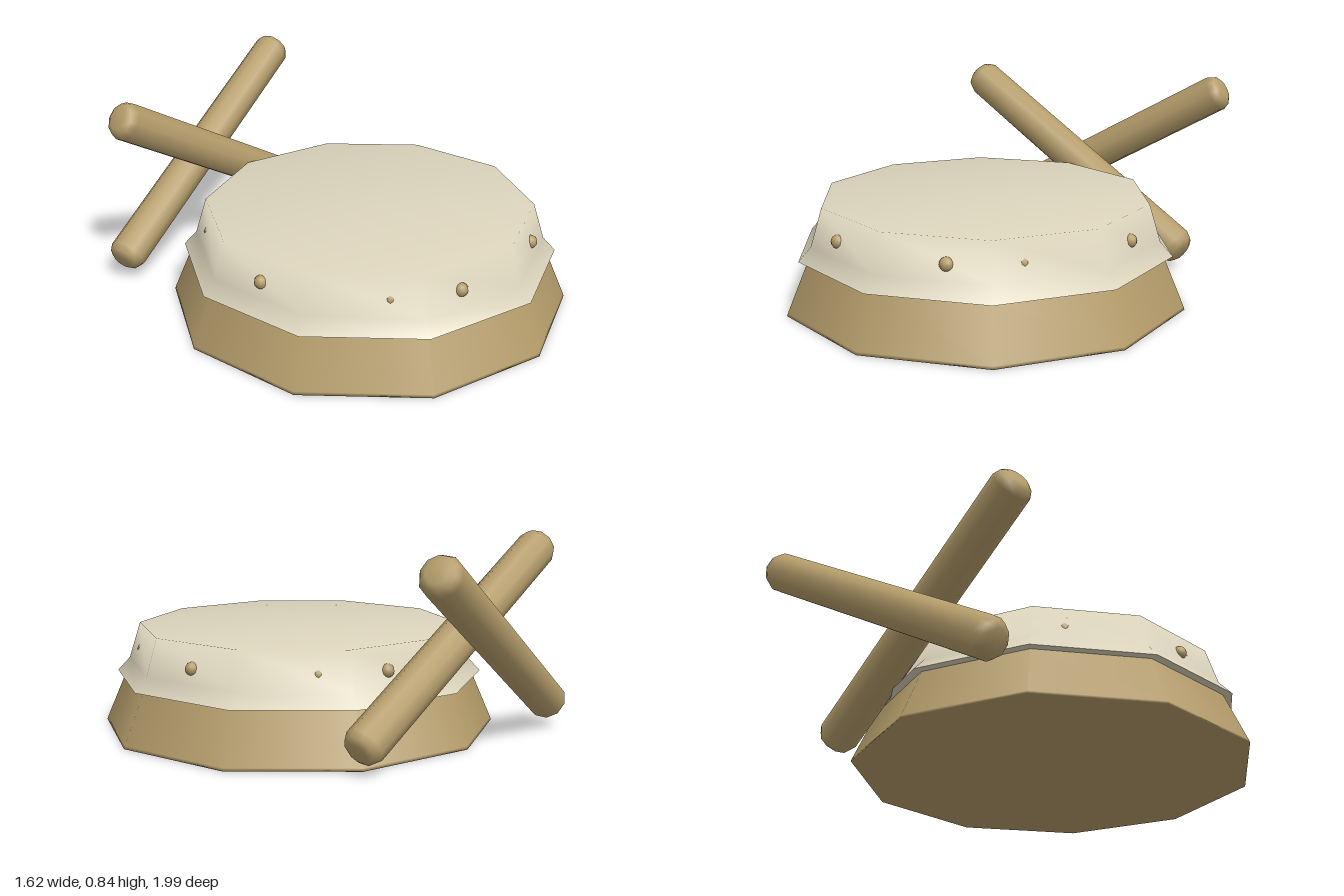
import * as THREE from 'three';

const wood = new THREE.MeshStandardMaterial({ color: 0xb59d6b });
wood.name = 'tan wood';
const hide = new THREE.MeshStandardMaterial({ color: 0xdcd4bc });
hide.name = 'pale hide';

// Ten-sided turned part from [radius, height] pairs, listed bottom to top
function turned(name, profile, material, sides = 10) {
  const points = profile.map(([r, y]) => new THREE.Vector2(r, y));
  const mesh = new THREE.Mesh(new THREE.LatheGeometry(points, sides), material);
  mesh.name = name;
  return mesh;
}

export function createModel() {
  const model = new THREE.Group();
  model.name = 'drumWithSticks';

  const drum = new THREE.Group();
  drum.name = 'drum';
  drum.position.z = 0.145;
  model.add(drum);

  // Flared wooden shell with a closed underside
  drum.add(turned('shell', [[0, 0], [0.85, 0], [0.846, 0.012], [0.757, 0.22], [0.745, 0.25]], wood));

  // Stretched skin with a flared lower lip
  drum.add(turned('skin', [[0.795, 0.222], [0.742, 0.28], [0.694, 0.435], [0, 0.435]], hide));
  drum.add(turned('skinUnderside', [[0.74, 0.222], [0.795, 0.222]], hide));

  // Pegs round the skin: [angle from the front, distance from the middle]
  const pegGeometry = new THREE.SphereGeometry(0.028, 10, 8);
  const quarter = [[22.3, 0.686], [46, 0.67]];
  const pegs = [[90, 0.684], [270, 0.684]];
  for (const [a, r] of quarter) pegs.push([a, r], [-a, r], [180 - a, r], [180 + a, r]);
  for (const [degrees, r] of pegs) {
    const a = THREE.MathUtils.degToRad(degrees);
    const peg = new THREE.Mesh(pegGeometry, wood);
    peg.name = 'peg';
    peg.position.set(Math.sin(a) * r, 0.34, Math.cos(a) * r);
    drum.add(peg);
  }

  // Two crossed sticks with rounded ends behind the drum
  const h = 0.695;
  const stickProfile = [
    [0, -h], [0.045, -h], [0.07, -h + 0.015], [0.084, -h + 0.045],
    [0.084, h - 0.045], [0.07, h - 0.015], [0.045, h], [0, h],
  ];
  for (const [name, side, z] of [['backStick', 1, -0.845], ['frontStick', -1, -0.64]]) {
    const stick = turned(name, stickProfile, wood);
    const direction = new THREE.Vector3(0.86 * side, 0.5, -0.095).normalize();
    stick.quaternion.setFromUnitVectors(new THREE.Vector3(0, 1, 0), direction);
    stick.position.set(0.012 * side, 0.44, z);
    model.add(stick);
  }
  return model;
}
